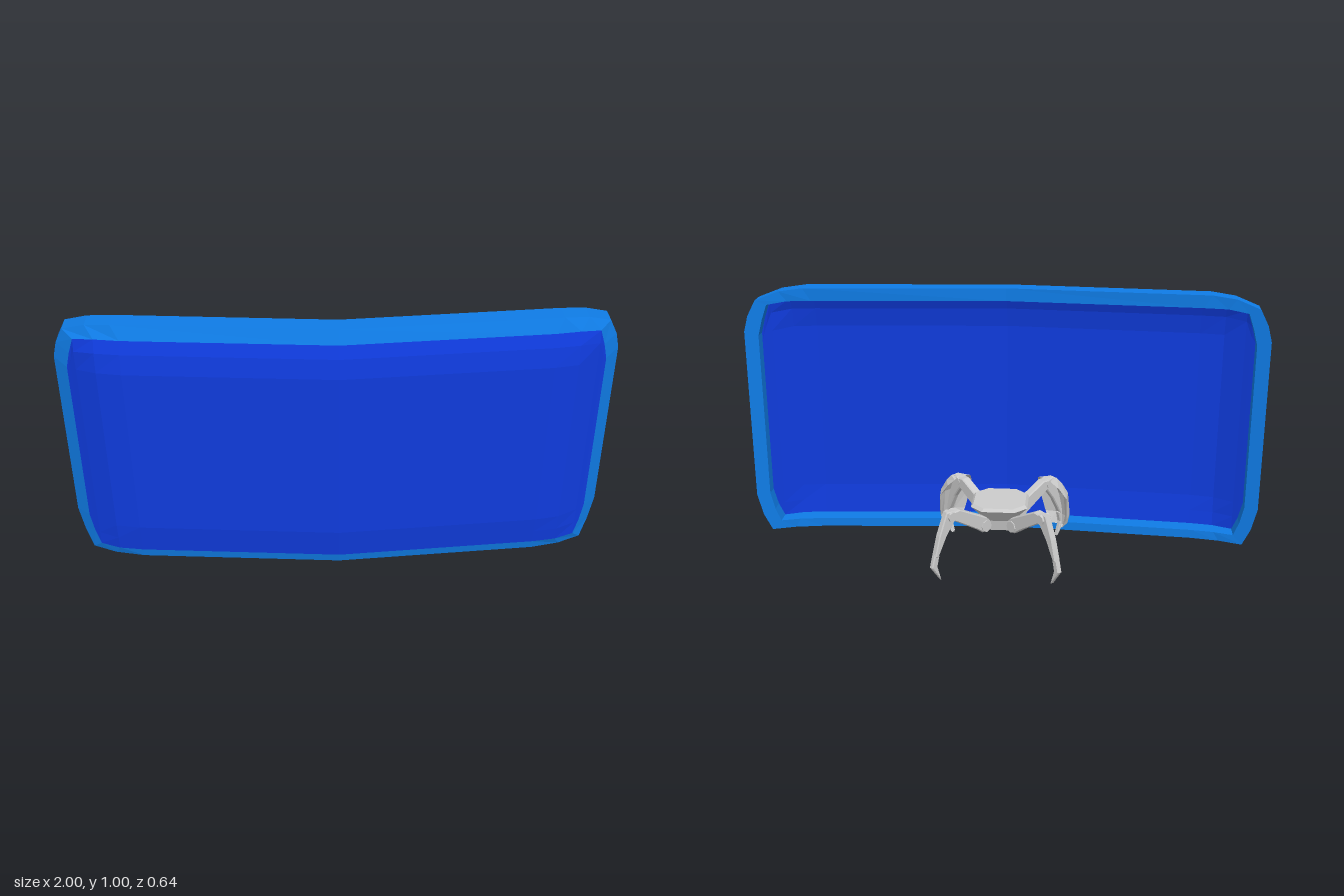
import * as THREE from 'three';

const V = (x, y, z) => new THREE.Vector3(x, y, z);
const grey = new THREE.MeshStandardMaterial({ color: 0xcccccc, flatShading: true });
const rimBlue = new THREE.MeshStandardMaterial({ color: 0x0f7ce6, flatShading: true });
const panelBlue = new THREE.MeshStandardMaterial({ color: 0x0f3bdc, flatShading: true });

function meshFrom(name, points, material) {
  const geo = new THREE.BufferGeometry().setFromPoints(points);
  geo.computeVertexNormals();
  const mesh = new THREE.Mesh(geo, material);
  mesh.name = name;
  return mesh;
}
const quad = (out, a, b, c, d) => out.push(a, b, c, a, c, d);

// Skin through rings stacked bottom to top, with both ends capped
function loft(name, rings, material) {
  const out = [], n = rings[0].length;
  const mid = (r) => r.reduce((s, p) => s.add(p), V(0, 0, 0)).divideScalar(n);
  const last = rings[rings.length - 1], low = mid(rings[0]), high = mid(last);
  for (let i = 0; i < n; i++) {
    const j = (i + 1) % n;
    for (let k = 0; k + 1 < rings.length; k++)
      quad(out, rings[k][i], rings[k][j], rings[k + 1][j], rings[k + 1][i]);
    out.push(low, rings[0][j], rings[0][i], high, last[i], last[j]);
  }
  return meshFrom(name, out, material);
}

// Shield: half outlines from bottom centre round to top centre
const outer = [[0, 0], [.75, 0], [.86, 0], [.95, 0], [.98, .07], [1, .16],
  [1, .84], [.985, .9], [.955, .96], [.87, .99], [.78, 1], [0, 1]];
const inner = [[0, .035], [.75, .035], [.84, .035], [.915, .035], [.935, .09], [.95, .16],
  [.95, .82], [.935, .88], [.915, .94], [.84, .95], [.75, .95], [0, .95]];
const depth = [.1, .1, .095, .085, .07, .065, .065, .065, .065, .067, .07, .07];
const colBulge = [.12, .12, .117, .1, .094, .09];
const rows = [[0, .107], [.06, .113], [.13, .12], [.87, .12], [.95, .108], [1, .09]];

// Bow of the shield seen from above
function bow(x) {
  const pts = [[0, .2], [.75, .145], [.85, .13], [1, .08]];
  const k = Math.abs(x) < .75 ? 0 : Math.abs(x) < .85 ? 1 : 2;
  const [x0, z0] = pts[k], [x1, z1] = pts[k + 1];
  return z0 + (z1 - z0) * (Math.abs(x) - x0) / (x1 - x0);
}

function shieldRim() {
  const section = (i, s) => {
    const [xo, yo] = outer[i], [xi, yi] = inner[i];
    const bulge = i < 6 ? Math.min(colBulge[i], rows[0][1]) : Math.min(colBulge[11 - i], rows[5][1]);
    return [V(s * xo, yo, bow(xo)), V(s * xo, yo, bow(xo) + depth[i]),
      V(s * xi, yi, bow(xi) + bulge), V(s * xi, yi, bow(xi))];
  };
  const loop = [];
  for (let i = 0; i < 12; i++) loop.push(section(i, 1));
  for (let i = 10; i > 0; i--) loop.push(section(i, -1));
  const out = [];
  loop.forEach((p, i) => {
    const q = loop[(i + 1) % loop.length];
    for (let k = 0; k < 4; k++) {
      const m = (k + 1) % 4;
      quad(out, p[m], p[k], q[k], q[m]);
    }
  });
  return meshFrom('shieldRim', out, rimBlue);
}

function shieldPanel() {
  const cols = [];
  for (let c = -5; c <= 5; c++) {
    const i = Math.abs(c), [x, y0] = inner[i], y1 = inner[11 - i][1];
    cols.push(rows.map(([v, b]) =>
      V(Math.sign(c) * x, y0 + (y1 - y0) * v, bow(x) + Math.min(b, colBulge[i]))));
  }
  const back = cols.map((col) => col.map((p) => V(p.x, p.y, p.z - .04)));
  const out = [];
  for (let c = 0; c < 10; c++) for (let r = 0; r < 5; r++) {
    quad(out, cols[c][r], cols[c + 1][r], cols[c + 1][r + 1], cols[c][r + 1]);
    quad(out, back[c + 1][r], back[c][r], back[c][r + 1], back[c + 1][r + 1]);
  }
  return meshFrom('shieldPanel', out, panelBlue);
}

// Flat leg part cut from a side profile
function slab(name, profile, width) {
  const shape = new THREE.Shape(profile.map(([x, y]) => new THREE.Vector2(x, y)));
  const b = .004;
  const geo = new THREE.ExtrudeGeometry(shape, { depth: width - 2 * b, bevelEnabled: true,
    bevelThickness: b, bevelSize: b, bevelOffset: -b, bevelSegments: 1 });
  geo.translate(0, 0, b - width / 2);
  const mesh = new THREE.Mesh(geo, grey);
  mesh.name = name;
  return mesh;
}

// One leg reaching along its local +x
function leg(name, armoured) {
  const g = new THREE.Group();
  g.name = name;
  g.add(slab('thigh', [[.04, .145], [.1, .138], [.13, .16], [.24, .228], [.24, .262], [.21, .264], [.06, .185]], .036));
  g.add(slab('shin', [[.222, .262], [.268, .267], [.303, .18], [.325, .1], [.31, .095], [.27, .17], [.222, .235]], .026));
  g.add(slab('claw', [[.325, .11], [.338, .06], [.296, 0], [.312, .06], [.302, .1]], .02));
  for (const [x, y, r, w] of [[.245, .245, .019, .042], [.085, .162, .024, .044]]) {
    const joint = new THREE.Mesh(new THREE.CylinderGeometry(r, r, w, 8), grey);
    joint.rotation.x = Math.PI / 2;
    joint.position.set(x, y, 0);
    joint.name = 'joint';
    g.add(joint);
  }
  if (armoured) {
    // Bent plate over the shin: height, reach, half width
    const levels = [[.045, .345, .035], [.09, .345, .062], [.19, .325, .08], [.235, .3, .06], [.26, .28, .04]];
    g.add(loft('legPlate', levels.map(([y, r, w]) => [
      V(r - .05, y, w), V(r, y, w * .45), V(r, y, -w * .45),
      V(r - .05, y, -w), V(r - .025, y, -w * .45), V(r - .025, y, w * .45)]), grey));
  }
  return g;
}

// Eight-sided body, waisted below
function walkerBody() {
  const levels = [[.138, .055, .035], [.18, .064, .03], [.234, .107, .062], [.245, .098, .055]];
  return loft('walkerBody', levels.map(([y, a, f]) => [
    V(a, y, f), V(a, y, -f), V(f, y, -a), V(-f, y, -a),
    V(-a, y, -f), V(-a, y, f), V(-f, y, a), V(f, y, a)]), grey);
}

export function createModel() {
  const model = new THREE.Group();
  const shield = new THREE.Group();
  shield.name = 'shield';
  shield.add(shieldRim(), shieldPanel());

  const walker = new THREE.Group();
  walker.name = 'walker';
  walker.position.z = -.08;
  walker.add(walkerBody());
  for (const [name, turn, armoured] of [['frontLeftLeg', -1, true], ['frontRightLeg', -3, true],
    ['backLeftLeg', 1, false], ['backRightLeg', 3, false]]) {
    const l = leg(name, armoured);
    l.rotation.y = turn * Math.PI / 4;
    walker.add(l);
  }
  model.add(shield, walker);
  return model;
}
